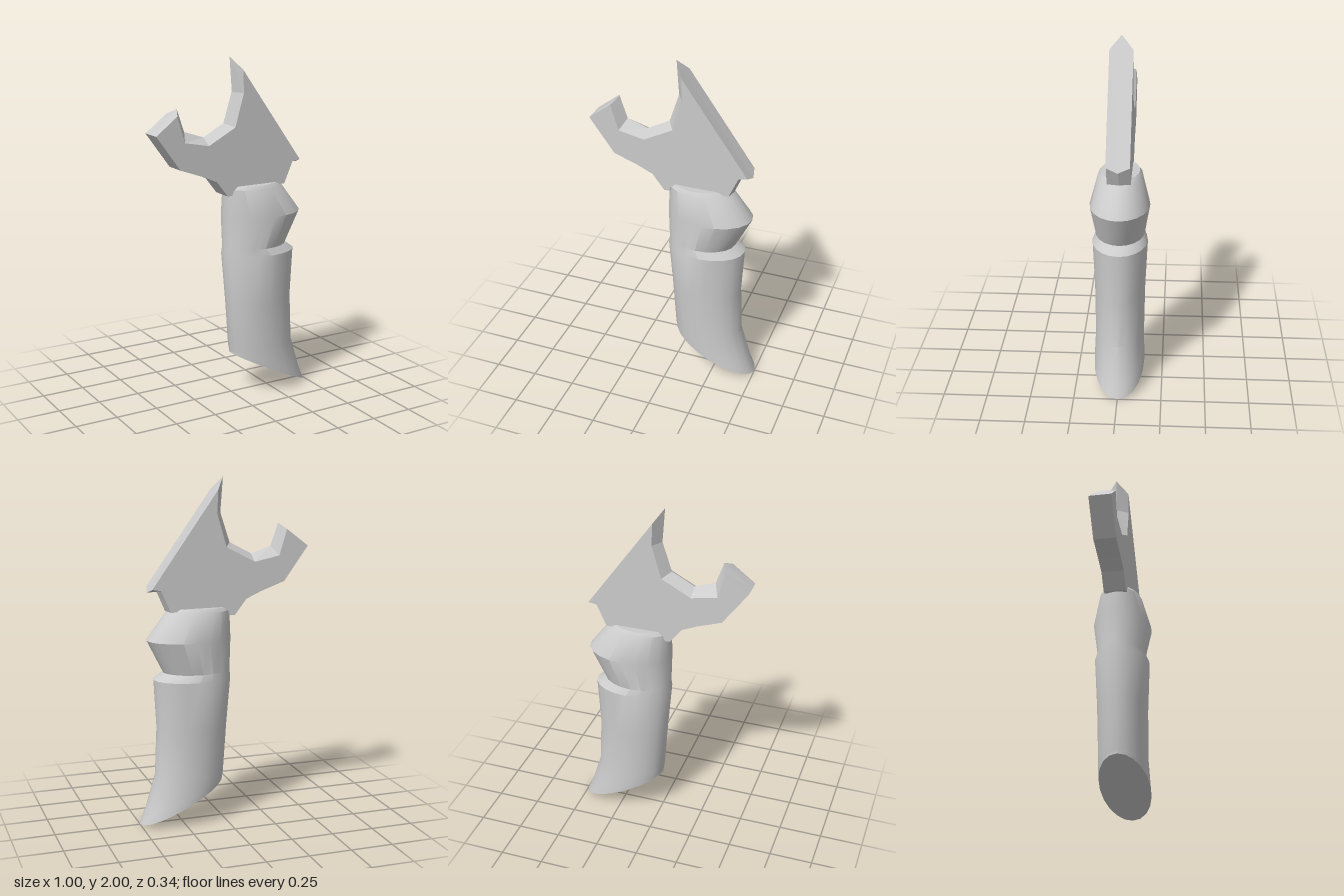
import * as THREE from 'three';
import { toCreasedNormals } from 'three/addons/utils/BufferGeometryUtils.js';

const HALF = 0.066; // half thickness of the blade
const SIDES = 20; // sides of the oval grip

// Blade outline, counterclockwise: x, y on the flat sides, then x, y on the middle ridge where it differs
const OUTLINE = [
  [-0.36, 1.4], [-0.22, 1.35], [-0.13, 1.31], [-0.06, 1.22], [-0.03, 1.22], [-0.02, 1.25],
  [0.32, 1.255, 0.335, 1.255], [0.375, 1.38, 0.385, 1.375], [0.425, 1.39, 0.44, 1.365],
  [0.04, 1.93, -0.01, 2], [0.045, 1.8, 0.005, 1.8], [-0.01, 1.61, -0.05, 1.63],
  [-0.18, 1.52, -0.18, 1.56], [-0.33, 1.55, -0.3, 1.6], [-0.375, 1.7, -0.345, 1.73], [-0.505, 1.6],
];

// Grip rings from the bottom: left x, left y, right x, right y, half depth
const RINGS = [
  [0, 0.245, 0.5, 0, 0.146],
  [0, 0.26, 0.465, 0.085, 0.145],
  [-0.005, 0.285, 0.405, 0.285, 0.141],
  [-0.025, 0.57, 0.392, 0.57, 0.145],
  [-0.05, 0.86, 0.407, 0.86, 0.158],
  [-0.045, 0.9, 0.35, 0.9, 0.14],
  [-0.05, 1.09, 0.445, 1.09, 0.17],
  [-0.045, 1.25, 0.325, 1.25, 0.125],
  [-0.025, 1.27, 0.295, 1.27, 0.11],
];

function toGeometry(points, index) {
  const geometry = new THREE.BufferGeometry();
  geometry.setAttribute('position', new THREE.Float32BufferAttribute(points, 3));
  geometry.setIndex(index);
  return geometry;
}

// Joins neighbouring loops of n points with quads
function bridge(index, loops, n) {
  for (let k = 0; k < loops - 1; k++) {
    for (let i = 0; i < n; i++) {
      const a = k * n + i, b = k * n + (i + 1) % n;
      index.push(a, b, b + n, a, b + n, a + n);
    }
  }
}

// Three outlines through the thickness; the middle one forms the ridged edges
function bladeGeometry() {
  const n = OUTLINE.length, points = [], index = [];
  for (const z of [-HALF, 0, HALF]) {
    for (const [x, y, mx = x, my = y] of OUTLINE) {
      points.push(z ? x : mx, z ? y : my, z);
    }
  }
  bridge(index, 3, n);
  const flat = OUTLINE.map(([x, y]) => new THREE.Vector2(x, y));
  for (const [a, b, c] of THREE.ShapeUtils.triangulateShape(flat, [])) {
    index.push(a, c, b, a + 2 * n, b + 2 * n, c + 2 * n);
  }
  return toGeometry(points, index);
}

// Oval rings, tilted at the foot, closed at both ends
function gripGeometry() {
  const points = [], index = [];
  for (const [lx, ly, rx, ry, depth] of RINGS) {
    for (let i = 0; i < SIDES; i++) {
      const angle = (i / SIDES) * Math.PI * 2, t = (1 + Math.cos(angle)) / 2;
      points.push(lx + (rx - lx) * t, ly + (ry - ly) * t, -depth * Math.sin(angle));
    }
  }
  bridge(index, RINGS.length, SIDES);
  const top = (RINGS.length - 1) * SIDES;
  for (let i = 1; i < SIDES - 1; i++) {
    index.push(0, i + 1, i, top, top + i, top + i + 1);
  }
  return toCreasedNormals(toGeometry(points, index), 0.5);
}

export function createModel() {
  const group = new THREE.Group();
  const add = (name, geometry, flatShading) => {
    const material = new THREE.MeshStandardMaterial({ color: 0xcccccc, flatShading });
    const mesh = new THREE.Mesh(geometry, material);
    mesh.name = name;
    group.add(mesh);
  };
  const blade = bladeGeometry();
  blade.computeVertexNormals();
  add('hookedBlade', blade, true);
  add('grip', gripGeometry(), false);
  return group;
}
